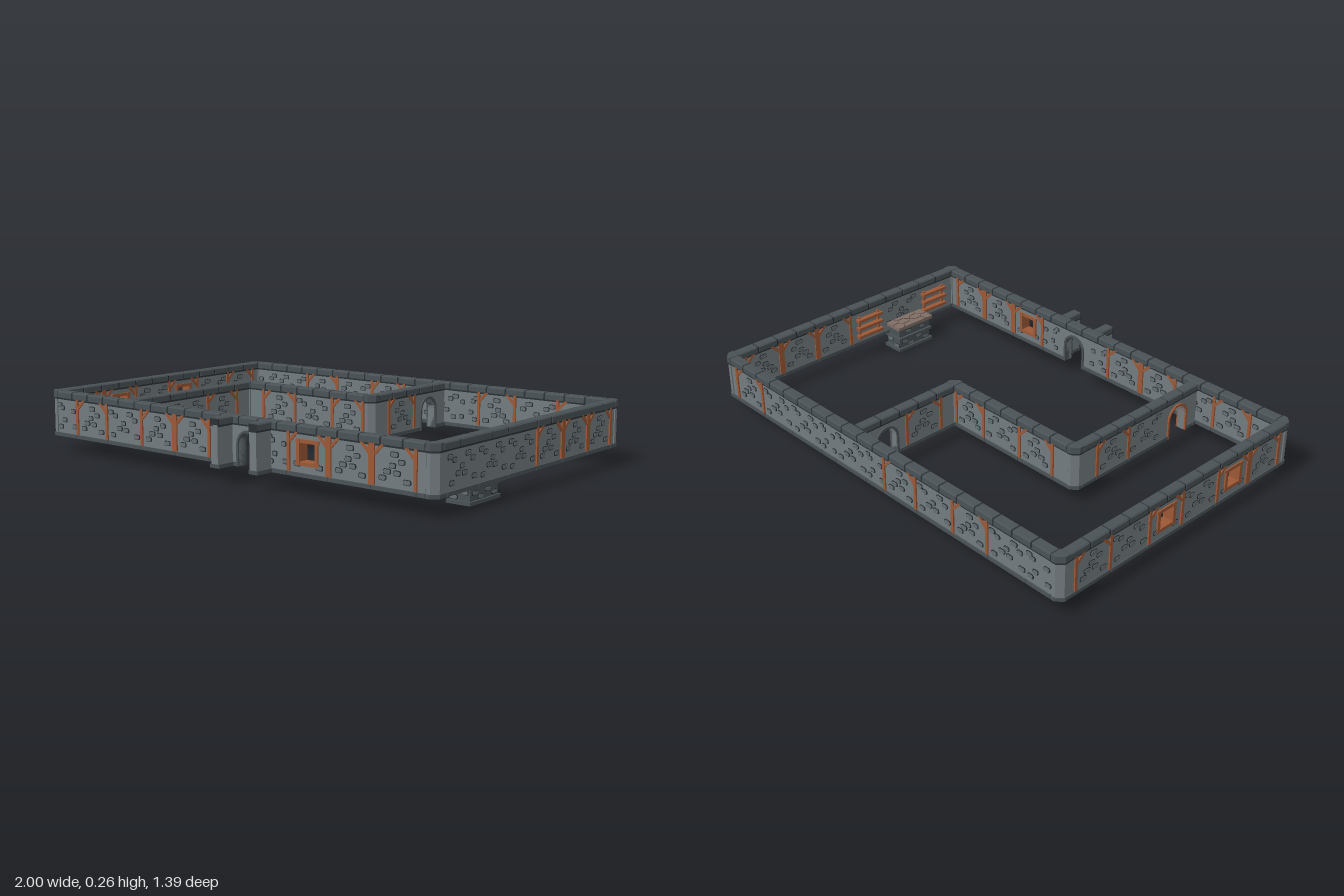
import * as THREE from 'three';
import { mergeGeometries } from 'three/addons/utils/BufferGeometryUtils.js';

const mat = (name, color) => Object.assign(new THREE.MeshStandardMaterial({ color }), { name });
const M = {
  wallBody: mat('grey plaster', 0x737b7f),
  coping: mat('dark stone', 0x4a5256),
  stones: mat('raised stone', 0x666e72),
  joints: mat('dark joint', 0x2a3034),
  timber: mat('timber', 0x9c5836),
  slab: mat('brown slab', 0x806d65),
  cracks: mat('slab crack', 0x5c4c46),
};
const BASE = 0.07, BODY = 0.085, EAVE = 0.235, TOP = 0.262; // wall levels
const T = 0.017, CAP = 0.023;                               // half thicknesses

// A part collects geometry by colour and becomes one named group
function makePart(name) {
  const bins = {};
  const add = (kind, g) => {
    const n = g.index ? g.toNonIndexed() : g;
    (bins[kind] ||= []).push(n);
  };
  const box = (kind, x0, x1, y0, y1, z0, z1) => add(kind,
    new THREE.BoxGeometry(x1 - x0, y1 - y0, z1 - z0).translate((x0 + x1) / 2, (y0 + y1) / 2, (z0 + z1) / 2));
  const build = () => {
    const group = new THREE.Group();
    group.name = name;
    for (const kind in bins) {
      const mesh = new THREE.Mesh(mergeGeometries(bins[kind]), M[kind]);
      mesh.name = kind;
      group.add(mesh);
    }
    return group;
  };
  return { add, box, build };
}

const poly = pts => new THREE.Shape(pts.map(p => new THREE.Vector2(...p)));
const extrude = (shape, depth) =>
  new THREE.ExtrudeGeometry(shape, { depth, bevelEnabled: false, curveSegments: 8 });

// Rounded-off stone with a dark joint round it, lying on a face at z = face
function stone(part, x, y, w, h, face, turn = 0) {
  const oct = (a, b, c) => poly([[-a + c, -b], [a - c, -b], [a, -b + c], [a, b - c], [a - c, b], [-a + c, b], [-a, b - c], [-a, -b + c]]);
  const put = (kind, grow, depth) => part.add(kind,
    extrude(oct(w / 2 + grow, h / 2 + grow, h * 0.3), depth).translate(x, y, face).rotateY(turn));
  put('joints', 0.0025, 0.003);
  put('stones', 0, 0.005);
}

// Scatter of stones on a panel: position along it (0-1), height, width
const SCATTER = [[0.1, 0.205, 0.026], [0.24, 0.192, 0.022], [0.36, 0.142, 0.028], [0.48, 0.165, 0.022],
  [0.56, 0.138, 0.026], [0.67, 0.205, 0.03], [0.82, 0.183, 0.024], [0.88, 0.118, 0.028], [0.16, 0.112, 0.024]];
const SCATTER_MID = [[0.34, 0.142, 0.028], [0.46, 0.165, 0.024], [0.56, 0.14, 0.026], [0.5, 0.205, 0.03],
  [0.66, 0.18, 0.024], [0.24, 0.118, 0.026], [0.78, 0.113, 0.028]];

// Edge posts and diagonal braces; s is the wall face, +1 or -1
function timberFrame(part, a, b, s) {
  const z0 = s > 0 ? T : -T - 0.006, z1 = z0 + 0.006;
  for (const [e, d] of [[a, 1], [b, -1]]) {
    part.box('timber', Math.min(e, e + d * 0.013), Math.max(e, e + d * 0.013), 0.087, EAVE, z0, z1);
    part.add('timber', extrude(poly([[e + d * 0.013, 0.192], [e + d * 0.054, 0.234], [e + d * 0.038, 0.234],
      [e + d * 0.013, 0.208]]), 0.005).translate(0, 0, s > 0 ? T : -T - 0.005));
  }
}

function shelves(part, c, s) {
  for (const y of [0.11, 0.15, 0.19])
    part.box('timber', c - 0.07, c + 0.07, y, y + 0.012, s > 0 ? T : -T - 0.025, s > 0 ? T + 0.025 : -T);
  for (const x of [c - 0.06, c + 0.05])
    part.box('timber', x, x + 0.01, 0.095, 0.21, s > 0 ? T : -T - 0.01, s > 0 ? T + 0.01 : -T);
}

// Openings ----------------------------------------------------------------
function windowPanel(part, a, b) {
  const c = (a + b) / 2, shape = poly([[a, BODY], [b, BODY], [b, EAVE], [a, EAVE]]);
  shape.holes.push(poly([[c - 0.04, 0.125], [c - 0.04, 0.2], [c + 0.04, 0.2], [c + 0.04, 0.125]]));
  part.add('wallBody', extrude(shape, 2 * T).translate(0, 0, -T));
  const d = T + 0.007;
  for (const s of [-1, 1]) part.box('timber', c + s * 0.043 - 0.007, c + s * 0.043 + 0.007, 0.115, 0.21, -d, d);
  for (const y of [0.12, 0.204]) part.box('timber', c - 0.054, c + 0.054, y - 0.007, y + 0.007, -d + 0.001, d - 0.001);
}

function arch(r, c, y0, spring) {
  const pts = [[c - r, y0]];
  for (let i = 0; i <= 10; i++) pts.push([c - r * Math.cos(Math.PI * i / 10), spring + r * Math.sin(Math.PI * i / 10)]);
  return [...pts, [c + r, y0]];
}

function doorPanel(part, a, b, trim) {
  const c = (a + b) / 2, inner = arch(0.05, c, BASE, 0.155);
  part.add('wallBody', extrude(poly([[a, BASE], ...inner, [b, BASE], [b, EAVE], [a, EAVE]]), 2 * T).translate(0, 0, -T));
  const ring = poly([...arch(0.059, c, BASE, 0.155), ...inner.slice().reverse()]);
  part.add(trim, extrude(ring, 2 * CAP + 0.002).translate(0, 0, -CAP - 0.001));
  part.box('coping', a, c - 0.055, BASE, BODY, -CAP, CAP);
  part.box('coping', c + 0.055, b, BASE, BODY, -CAP, CAP);
}

// A wall from p to q. edges: distances along it; types: one letter pair per panel (outer, inner)
// P plain, S stones, B braced, W window, D door, F timber-framed door, H shelves
function wall(name, p, q, edges, types) {
  const part = makePart(name), dx = q[0] - p[0], dz = q[1] - p[1], len = Math.hypot(dx, dz);
  types.split(' ').forEach((pair, i) => {
    const a = edges[i], b = edges[i + 1], k = pair[0], c = (a + b) / 2;
    if (k === 'D' || k === 'F') doorPanel(part, a, b, k === 'D' ? 'coping' : 'timber');
    else {
      if (k === 'W') windowPanel(part, a, b);
      else part.box('wallBody', a, b, BODY, EAVE, -T, T);
      part.box('coping', a, b - 0.003, BASE, BODY, -CAP, CAP);
    }
    [1, -1].forEach((s, j) => {
      const t = pair[j] || k;
      if (t === 'B' || t === 'W') timberFrame(part, a, b, s);
      if (t === 'H') shelves(part, c, s);
      const list = t === 'S' ? SCATTER : t === 'B' ? SCATTER_MID : t === 'W' ? SCATTER_MID.slice(5) : [];
      for (const [f, y, w] of list) {
        if (b - a < 0.15 && f > 0.4 && f < 0.8) continue; // fewer on short panels
        const x = a + (b - a) * f;
        stone(part, s * x, y, Math.min(w, (b - a) * 0.2), 0.015, T, s > 0 ? 0 : Math.PI);
      }
    });
  });
  coping(part, len);
  const g = part.build();
  g.position.set(p[0], 0, p[1]);
  g.rotation.y = Math.atan2(-dz, dx);
  return g;
}

// Row of chamfered coping blocks over a dark core
function coping(part, len) {
  part.box('joints', 0, len, EAVE - 0.007, TOP - 0.004, -CAP + 0.002, CAP - 0.002);
  const n = Math.max(1, Math.round(len / 0.0975)), step = len / n, c = 0.005;
  const profile = poly([[-CAP, EAVE], [CAP, EAVE], [CAP, TOP - c], [CAP - c, TOP], [-CAP + c, TOP], [-CAP, TOP - c]]);
  for (let i = 0; i < n; i++)
    part.add('coping', extrude(profile, step - 0.008).rotateY(Math.PI / 2).translate(i * step + 0.004, 0, 0));
}

// Corner pillar chamfered on its outer side (sx, sz)
function corner(x, z, sx, sz) {
  const part = makePart('cornerPillar');
  const block = (kind, h, c, y0, y1) => part.add(kind, extrude(
    poly([[-h, -h], [h, -h], [h, h - c], [h - c, h], [-h, h]].map(([u, v]) => [u * sx, -v * sz])), y1 - y0)
    .rotateX(-Math.PI / 2).translate(x, y0, z));
  block('coping', CAP, 0.026, BASE, BODY);
  block('wallBody', CAP - 0.003, 0.024, BODY, EAVE - 0.007);
  block('joints', CAP - 0.001, 0.025, EAVE - 0.007, EAVE);
  block('coping', CAP, 0.026, EAVE, TOP);
  return part.build();
}

// Stone block with a cracked brown slab, standing against the wall
function altar() {
  const part = makePart('stoneAltar');
  part.box('coping', 0.88, 0.966, 0, 0.112, 0.175, 0.355);
  part.box('coping', 0.87, 0.974, 0, 0.014, 0.165, 0.365);
  part.box('coping', 0.87, 0.974, 0.056, 0.068, 0.167, 0.363);
  part.box('slab', 0.868, 0.958, 0.11, 0.125, 0.163, 0.367);
  for (const [u, y] of [[-0.06, 0.042], [0.02, 0.045], [0.065, 0.028], [-0.025, 0.025], [-0.04, 0.09], [0.045, 0.088]]) {
    stone(part, u - 0.265, y, 0.03, 0.013, 0.966, Math.PI / 2);
    stone(part, u + 0.265, y, 0.03, 0.013, -0.88, -Math.PI / 2);
    if (Math.abs(u) < 0.03) for (const [f, r] of [[0.355, 0], [-0.175, Math.PI]])
      stone(part, r ? -0.923 - u : 0.923 + u, y, 0.03, 0.013, f, r);
  }
  const lines = [[0.868, 0.2, 0.895, 0.215], [0.895, 0.215, 0.913, 0.195], [0.913, 0.195, 0.913, 0.163],
    [0.913, 0.195, 0.935, 0.215], [0.935, 0.215, 0.958, 0.2], [0.895, 0.215, 0.895, 0.245], [0.935, 0.215, 0.935, 0.245],
    [0.895, 0.245, 0.913, 0.265], [0.935, 0.245, 0.913, 0.265]];
  for (const l of lines) for (const m of [0, 1]) {
    const [x0, z0, x1, z1] = m ? [l[0], 0.53 - l[1], l[2], 0.53 - l[3]] : l;
    part.add('cracks', new THREE.BoxGeometry(Math.hypot(x1 - x0, z1 - z0), 0.002, 0.0035)
      .rotateY(Math.atan2(z0 - z1, x1 - x0)).translate((x0 + x1) / 2, 0.1255, (z0 + z1) / 2));
  }
  return part.build();
}

export function createModel() {
  const model = new THREE.Group();
  model.name = 'walledCompound';
  const X = 0.977, Z0 = -0.672, Z1 = 0.592, IX = -0.54, JX = 0.145, IZ = -0.14;
  const xs = [-0.954, -0.835, -0.64, -0.445, -0.25, -0.055, 0.045, 0.24, 0.335, 0.53, 0.725, 0.92, 0.954];
  const zs = [0.569, 0.545, 0.35, 0.155, -0.04, -0.235, -0.43, -0.62, -0.649];
  const along = (list, from) => list.map(v => Math.abs(v - from));
  const back = xs.slice().reverse(), left = zs.slice().reverse();

  // Outer walls, anticlockwise so that the first letter of a pair faces out
  model.add(
    wall('frontWall', [-0.954, Z1], [0.954, Z1], along(xs, -0.954), 'S B S B B S D S W B B P'),
    wall('rightWall', [X, 0.569], [X, -0.649], along(zs, 0.569), 'P SH S SH B B B P'),
    wall('backWall', [0.954, Z0], [-0.954, Z0], along(back, 0.954), 'P B S SB S S S B S B S S'),
    wall('leftWall', [-X, -0.649], [-X, 0.569], along(left, -0.649), 'P B S W S W B P'));

  // Inner walls
  model.add(
    wall('innerSideWall', [IX, 0.569], [IX, -0.117], along([0.569, 0.545, 0.35, 0.155, -0.04, -0.117], 0.569), 'P F S B P'),
    wall('innerCrossWall', [-0.517, IZ], [0.122, IZ], along([-0.517, -0.445, -0.25, -0.055, 0.122], -0.517), 'P B S B'),
    wall('innerBackWall', [JX, -0.649], [JX, -0.163], along([-0.649, -0.62, -0.425, -0.23, -0.163], -0.649), 'P D B P'));

  // Buttresses beside the gate
  for (const x of [0.045, 0.24])
    model.add(wall('gateButtress', [x, 0.694], [x, 0.612], [0, 0.082], 'P'));

  for (const sx of [-1, 1]) {
    model.add(corner(sx * X, Z0, sx, -1), corner(sx * X, Z1, sx, 1));
  }
  model.add(corner(IX, IZ, -1, -1), corner(JX, IZ, 1, 1), altar());
  return model;
}
